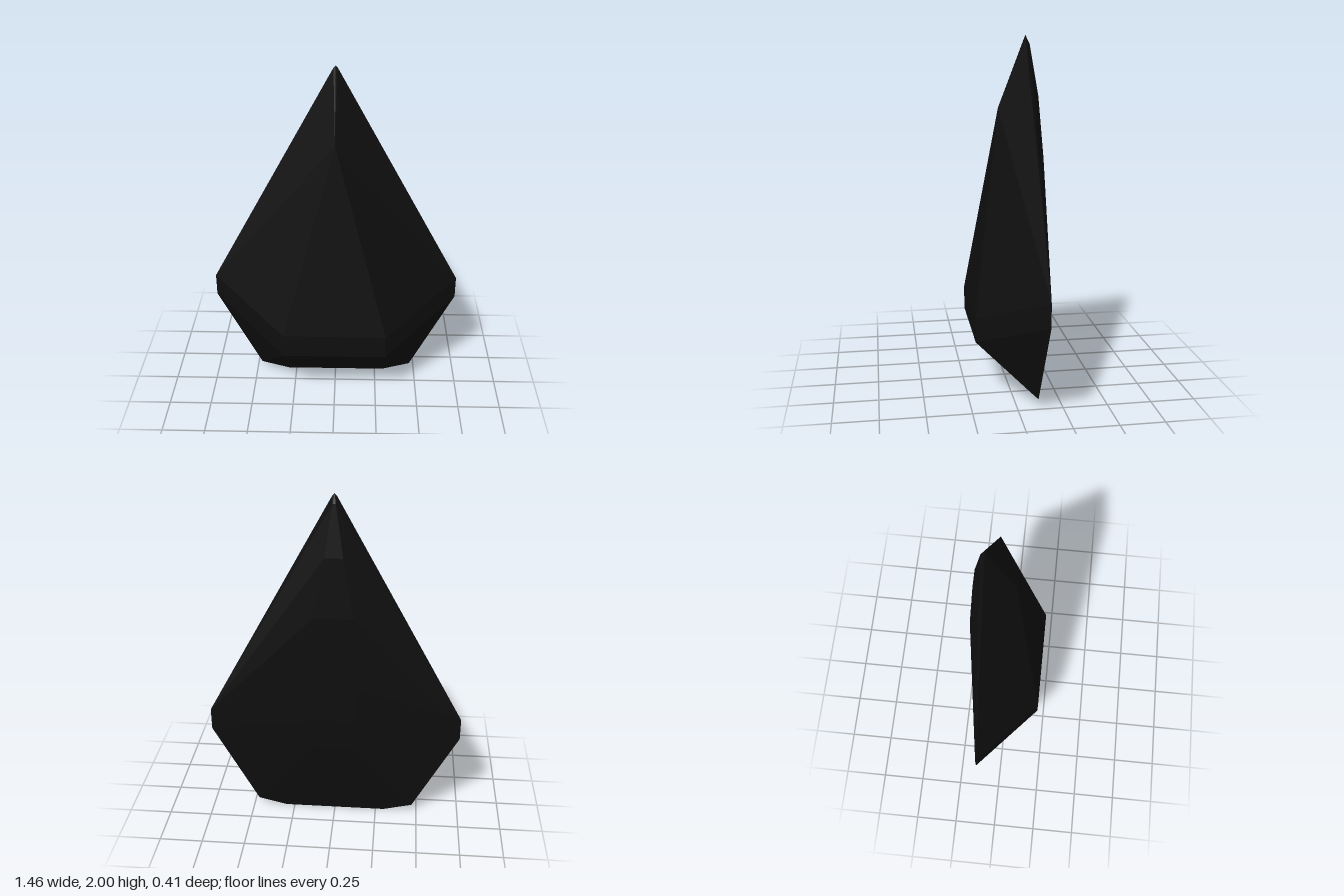
import * as THREE from 'three';
import { ConvexGeometry } from 'three/addons/geometries/ConvexGeometry.js';

// Mirror half-outline points across x = 0
const mirrored = (points) => points.flatMap(([x, y, z]) =>
  x === 0 ? [new THREE.Vector3(x, y, z)]
    : [new THREE.Vector3(x, y, z), new THREE.Vector3(-x, y, z)]);

export function createModel() {
  const group = new THREE.Group();
  group.name = 'facetedShard';
  const black = new THREE.MeshStandardMaterial({ color: 0x0e0e0e });
  black.name = 'black';

  // Teardrop rim where the front and back facets meet
  const rim = [
    [0, 2, -0.117], [0.012, 1.987, -0.117],
    [0.73, 0.68, -0.13], [0.73, 0.55, -0.13],
    [0.47, 0.045, -0.118], [0.3, 0, -0.115],
  ];
  // Raised front plateau and the ridge leading to the tip
  const front = [
    [0.3, 0.47, 0.207], [0.3, 0.33, 0.207], [0, 1.6, 0.037],
  ];
  // Gently bowed back
  const back = [
    [0.008, 1.95, -0.14], [0.05, 1.67, -0.183], [0.11, 1.33, -0.204],
    [0.12, 0.9, -0.207], [0.12, 0.68, -0.206], [0.12, 0.5, -0.194],
  ];

  const shell = new THREE.Mesh(new ConvexGeometry(mirrored([...rim, ...front, ...back])), black);
  shell.name = 'shell';
  group.add(shell);
  return group;
}
